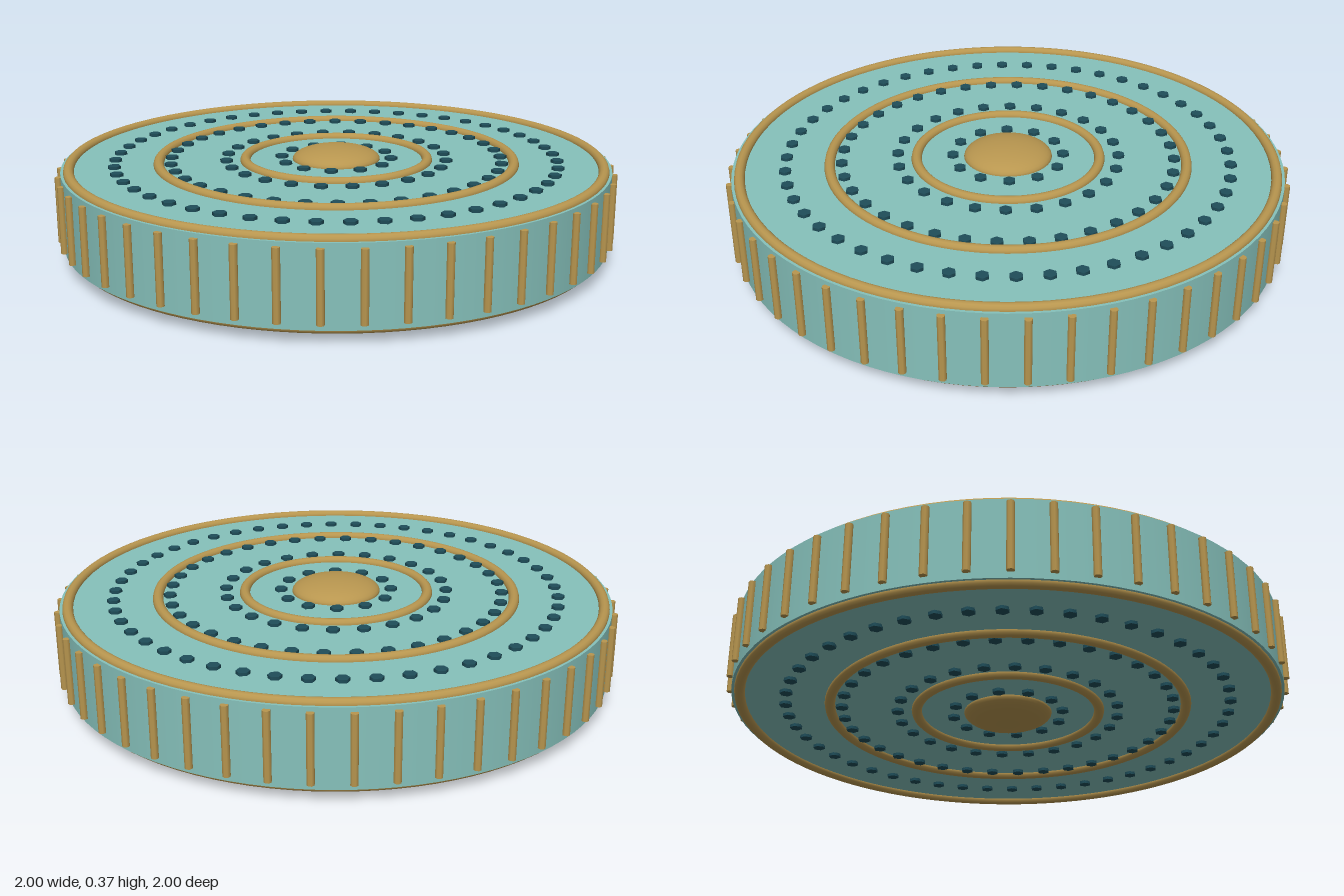
import * as THREE from 'three';

export function createModel() {
  const model = new THREE.Group();
  model.name = 'ornateDisc';

  const teal = new THREE.MeshStandardMaterial({ color: 0x86c1bb });
  teal.name = 'teal';
  const gold = new THREE.MeshStandardMaterial({ color: 0xb8964f });
  gold.name = 'gold';
  const darkBlue = new THREE.MeshStandardMaterial({ color: 0x1f4e5a });
  darkBlue.name = 'darkBlue';

  const midY = 0.1825;
  const halfHeight = 0.135;

  const add = (parent, name, geometry, material, x, y, z) => {
    const mesh = new THREE.Mesh(geometry, material);
    mesh.name = name;
    mesh.position.set(x, y, z);
    parent.add(mesh);
    return mesh;
  };

  // Main drum
  add(model, 'body', new THREE.CylinderGeometry(0.978, 0.978, halfHeight * 2, 96), teal, 0, midY, 0);

  // Upright ribs around the edge
  const ribs = new THREE.Group();
  ribs.name = 'edgeRibs';
  model.add(ribs);
  const ribGeometry = new THREE.CylinderGeometry(0.013, 0.013, 0.235, 8);
  for (let i = 0; i < 48; i++) {
    const a = (i / 48) * Math.PI * 2;
    add(ribs, 'edgeRib', ribGeometry, gold, Math.cos(a) * 0.985, midY + 0.003, Math.sin(a) * 0.985);
  }

  // Both faces carry the same rings, studs and central boss
  const studGeometry = new THREE.CylinderGeometry(0.023, 0.023, 0.022, 6);
  const bossGeometry = new THREE.SphereGeometry(0.158, 40, 20);
  bossGeometry.scale(1, 0.0475 / 0.158, 1);

  for (const side of [1, -1]) {
    const face = new THREE.Group();
    face.name = side > 0 ? 'topFace' : 'bottomFace';
    face.position.y = midY + side * halfHeight;
    model.add(face);

    for (const radius of [0.95, 0.637, 0.328]) {
      const ring = add(face, 'raisedRing', new THREE.TorusGeometry(radius, 0.0185, 12, 96), gold, 0, 0, 0);
      ring.rotation.x = Math.PI / 2;
    }

    add(face, 'centralBoss', bossGeometry, gold, 0, 0, 0);

    // Four circles of studs, each turned a little further than the last
    for (let k = 1; k <= 4; k++) {
      const count = 12 * k;
      const radius = 0.198 * k;
      for (let i = 0; i < count; i++) {
        const a = (i / count) * Math.PI * 2 + k * 0.04;
        add(face, 'stud', studGeometry, darkBlue, Math.cos(a) * radius, 0, Math.sin(a) * radius);
      }
    }
  }

  return model;
}
